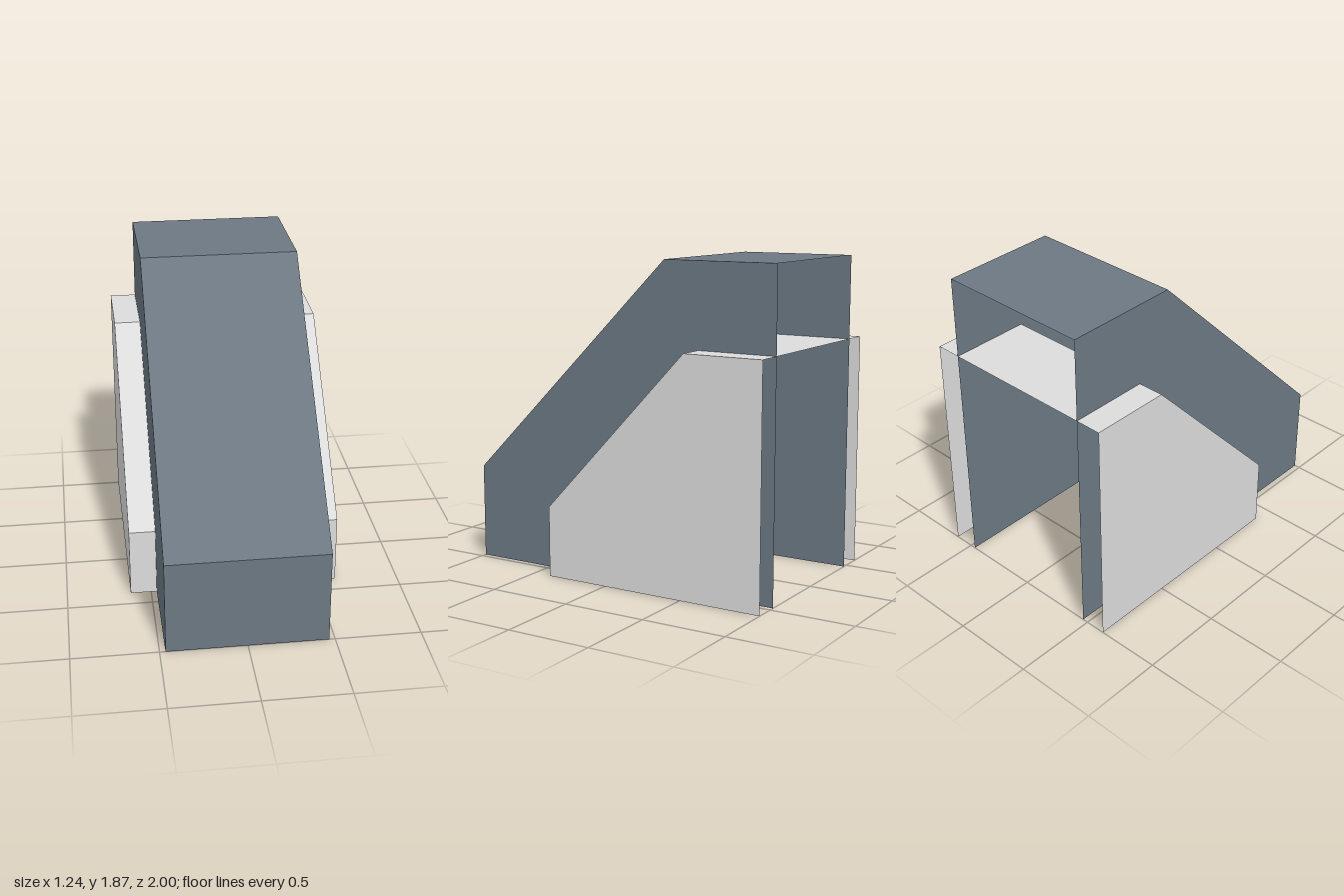
import * as THREE from 'three';

const slate = new THREE.MeshStandardMaterial({ color: 0x6c7883, side: THREE.DoubleSide });
slate.name = 'slate blue';
const pale = new THREE.MeshStandardMaterial({ color: 0xdcdcdc, side: THREE.DoubleSide });
pale.name = 'pale grey';

// Thin sheet hood, open at the back and bottom.
// The profile lists [z, y] from the front foot up to the top rear edge.
function hood(name, profile, halfWidth, material) {
  const group = new THREE.Group();
  group.name = name;
  const add = (part, geometry) => {
    const mesh = new THREE.Mesh(geometry, material);
    mesh.name = part;
    group.add(mesh);
  };

  // Front, slope and top panels
  ['frontPanel', 'slopePanel', 'topPanel'].forEach((part, i) => {
    const [z0, y0] = profile[i], [z1, y1] = profile[i + 1];
    const panel = new THREE.PlaneGeometry(2 * halfWidth, Math.hypot(z1 - z0, y1 - y0));
    panel.rotateX(Math.atan2(z1 - z0, y1 - y0));
    panel.translate(0, (y0 + y1) / 2, (z0 + z1) / 2);
    add(part, panel);
  });

  // Mirrored side walls, closed down to the rear foot
  const outline = [...profile, [profile[3][0], 0]];
  for (const side of [1, -1]) {
    const shape = new THREE.Shape(outline.map(([z, y]) => new THREE.Vector2(-side * z, y)));
    const wall = new THREE.ShapeGeometry(shape);
    wall.rotateY(side * Math.PI / 2);
    wall.translate(side * halfWidth, 0, 0);
    add(side > 0 ? 'leftWall' : 'rightWall', wall);
  }
  return group;
}

export function createModel() {
  const model = new THREE.Group();
  model.name = 'slopedHoods';
  // Tall narrow hood
  model.add(hood('tallHood', [[1, 0], [1, 0.565], [-0.303, 1.866], [-1, 1.866]], 0.466, slate));
  // Lower, wider hood passing through it
  model.add(hood('wideHood', [[0.388, 0], [0.388, 0.417], [-0.52, 1.378], [-1, 1.378]], 0.622, pale));
  return model;
}
